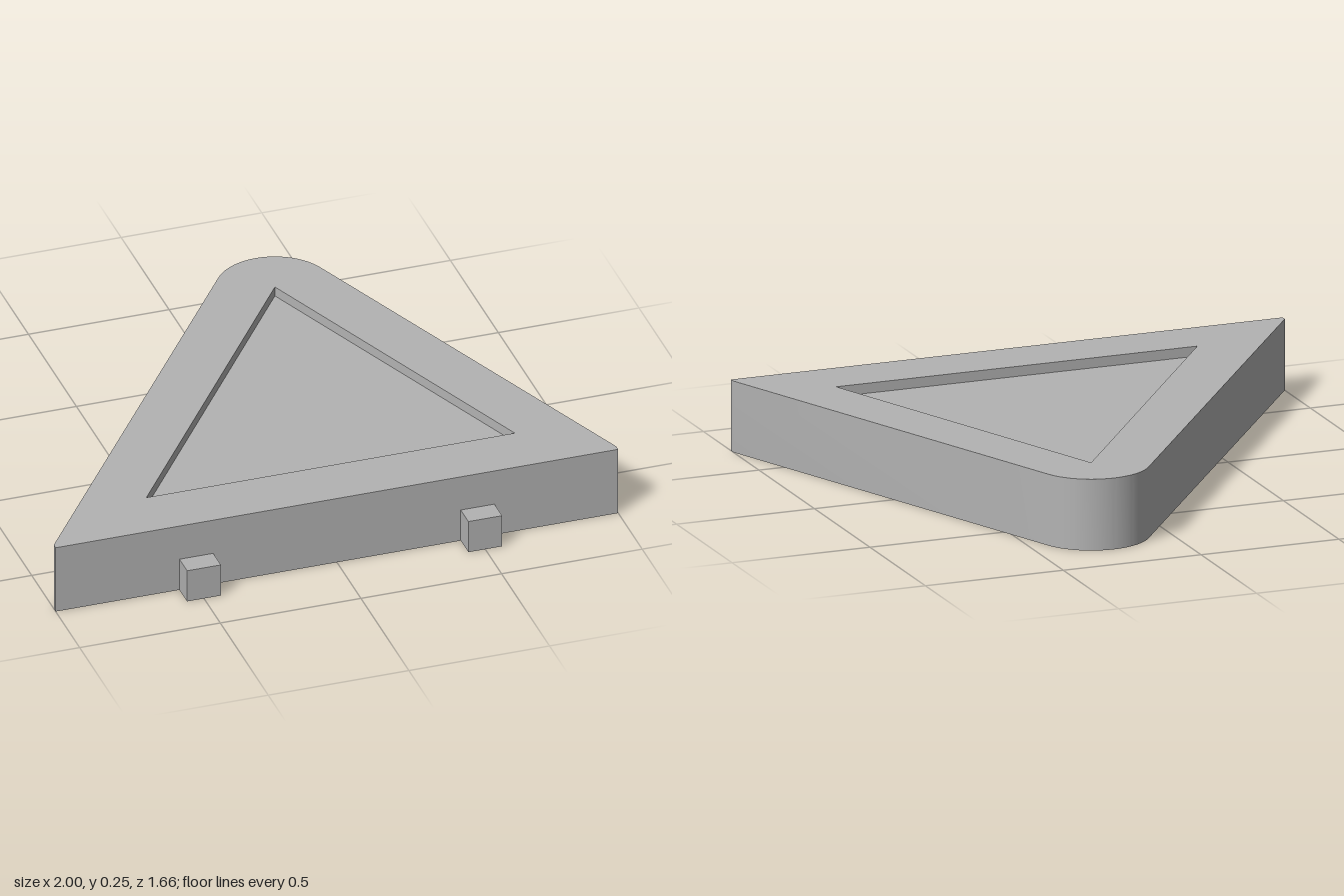
import * as THREE from 'three';
import { toCreasedNormals } from 'three/addons/utils/BufferGeometryUtils.js';

const HEIGHT = 0.25, RECESS = 0.035;

// Plan points are [x, z]; shapes are drawn with y = -z, then laid flat.
const toPoints = (list) => list.map(([x, z]) => new THREE.Vector2(x, -z));

function extrudeUp(shape, height) {
  const geometry = new THREE.ExtrudeGeometry(shape, { depth: height, bevelEnabled: false, curveSegments: 24 });
  geometry.rotateX(-Math.PI / 2);
  return toCreasedNormals(geometry, 0.5);
}

export function createModel() {
  const group = new THREE.Group();
  group.name = 'triangularPlate';
  const grey = new THREE.MeshStandardMaterial({ color: 0xb3b3b3 });
  grey.name = 'grey';

  const add = (name, geometry) => {
    const mesh = new THREE.Mesh(geometry, grey);
    mesh.name = name;
    group.add(mesh);
    return mesh;
  };

  const recess = toPoints([[-0.605, 0.537], [0.705, 0.537], [0.25, -0.63]]);

  // Body: skewed triangle, rounded at the back, with a triangular opening
  const outline = new THREE.Shape();
  outline.moveTo(-1, -0.75);
  outline.lineTo(1, -0.75);
  outline.lineTo(1, -0.73);
  outline.absarc(0.25, 0.63, 0.2, Math.atan2(0.366, 0.93), Math.atan2(0.59, -0.807), false);
  outline.lineTo(-1, -0.73);
  outline.closePath();
  outline.holes.push(new THREE.Path(recess.slice().reverse()));
  add('body', extrudeUp(outline, HEIGHT));

  // Floor of the shallow recess
  add('recessFloor', extrudeUp(new THREE.Shape(recess), HEIGHT - RECESS));

  // Two small pegs on the front edge
  for (const [name, x] of [['leftPeg', 0.5], ['rightPeg', -0.5]]) {
    add(name, new THREE.BoxGeometry(0.12, 0.12, 0.08)).position.set(x, 0.06, 0.79);
  }
  return group;
}
